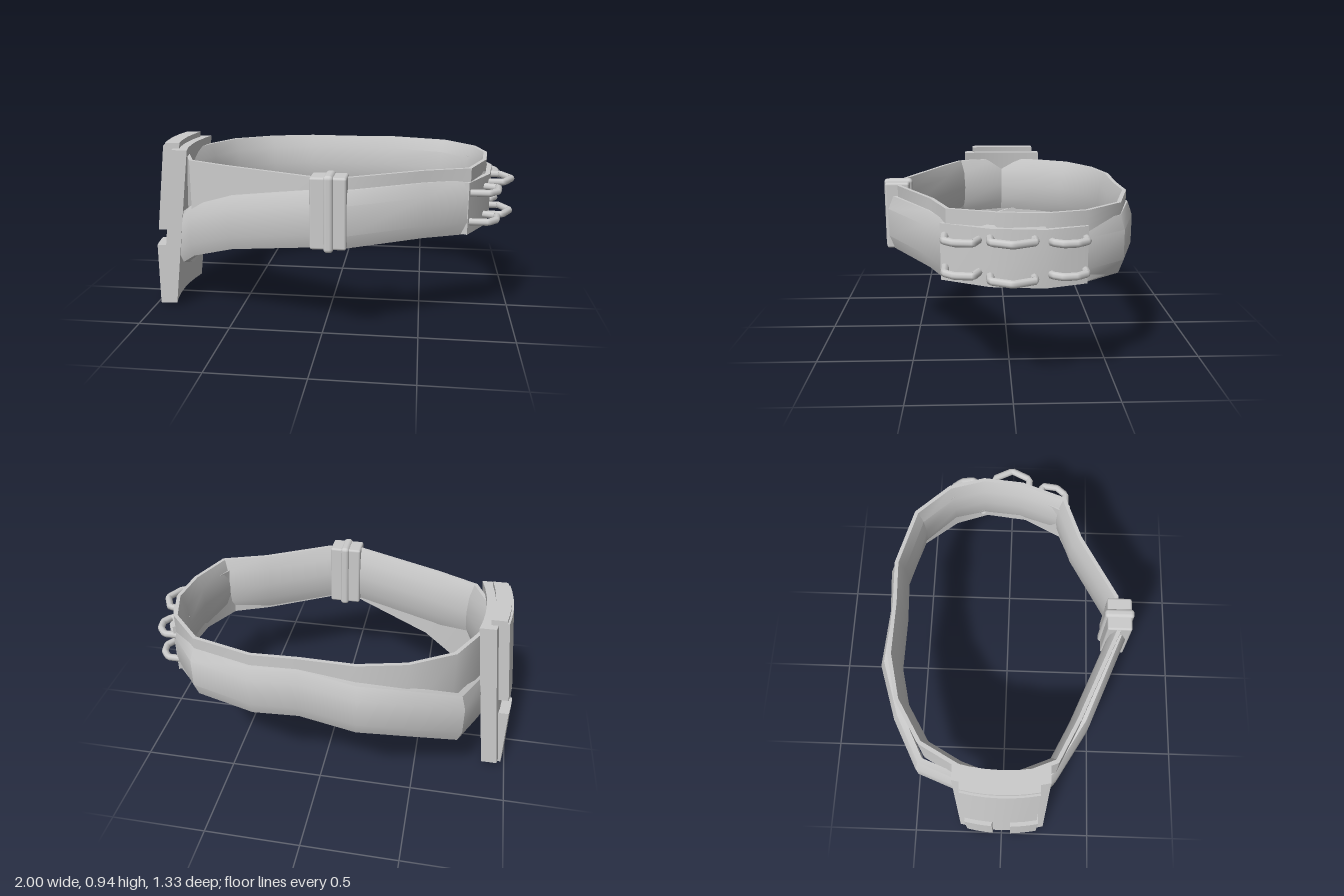
import * as THREE from 'three';
import { toCreasedNormals } from 'three/addons/utils/BufferGeometryUtils.js';
import { RoundedBoxGeometry } from 'three/addons/geometries/RoundedBoxGeometry.js';

const grey = new THREE.MeshStandardMaterial({ color: 0xcccccc, side: THREE.DoubleSide });

function add(group, name, geometry, x = 0, y = 0, z = 0) {
  const mesh = new THREE.Mesh(geometry, grey);
  mesh.name = name;
  mesh.position.set(x, y, z);
  group.add(mesh);
  return mesh;
}

// Sweeps a profile of [outward, up] points along a path of [x, z, baseY] points.
function band(path, profile, closed) {
  const n = path.length, m = profile.length, pos = [], idx = [];
  const normal = (a, b) => new THREE.Vector2(a[1] - b[1], b[0] - a[0]).normalize();
  path.forEach((p, i) => {
    const prev = closed || i > 0 ? path[(i + n - 1) % n] : null;
    const next = closed || i < n - 1 ? path[(i + 1) % n] : null;
    const n1 = normal(prev || p, prev ? p : next);
    const n2 = normal(next ? p : prev, next || p);
    const miter = n1.clone().add(n2).normalize();
    miter.divideScalar(Math.max(0.6, miter.dot(n1)));
    for (const [o, y] of profile) pos.push(p[0] + miter.x * o, p[2] + y, p[1] + miter.y * o);
  });
  for (let i = 0; i < (closed ? n : n - 1); i++) {
    for (let j = 0; j < m; j++) {
      const k = (i + 1) % n, l = (j + 1) % m;
      const a = i * m + j, b = k * m + j, c = k * m + l, d = i * m + l;
      idx.push(a, b, c, a, c, d);
    }
  }
  if (!closed) {
    const e = (n - 1) * m;
    for (let j = 1; j < m - 1; j++) idx.push(0, j, j + 1, e, e + j + 1, e + j);
  }
  const g = new THREE.BufferGeometry();
  g.setAttribute('position', new THREE.Float32BufferAttribute(pos, 3));
  g.setIndex(idx);
  return toCreasedNormals(g, 0.6);
}

// Upright panel that leans inward with height and bows outward across its width.
function panel(x, y0, y1, z0, z1, thick, lean) {
  const g = new THREE.BoxGeometry(thick, y1 - y0, z1 - z0, 1, 1, 6);
  g.translate(x, (y0 + y1) / 2, (z0 + z1) / 2);
  const p = g.attributes.position;
  for (let i = 0; i < p.count; i++) {
    const z = p.getZ(i);
    p.setX(i, p.getX(i) + lean * p.getY(i) - 0.03 * (1 - (z / 0.24) ** 2));
  }
  return toCreasedNormals(g, 0.6);
}

export function createModel() {
  const model = new THREE.Group();

  // Outer belt: level on the left half, drooping towards the right hip
  const outerPath = [
    [-0.03, 0.64, 0.51], [0.14, 0.64, 0.51], [0.52, 0.42, 0.51], [0.73, 0.33, 0.51],
    [0.85, 0.1, 0.51], [0.88, -0.15, 0.51], [0.81, -0.35, 0.51], [0.65, -0.55, 0.51],
    [0.32, -0.65, 0.51], [0.08, -0.635, 0.51], [-0.22, -0.665, 0.475], [-0.5, -0.58, 0.42],
    [-0.74, -0.46, 0.335], [-0.85, -0.15, 0.26], [-0.88, 0.04, 0.2],
    [-0.86, 0.2, 0.25], [-0.76, 0.29, 0.32], [-0.5, 0.45, 0.42],
  ];
  add(model, 'outerBelt', band(outerPath,
    [[-0.055, 0], [-0.025, 0], [0, 0.07], [0, 0.22], [-0.025, 0.29], [-0.055, 0.29]], true));

  // Inner belt: level all the way round, softly rounded on the inside
  const innerPath = [
    [-0.03, 0.54], [0.14, 0.53], [0.48, 0.34], [0.7, 0.26], [0.78, 0.05], [0.8, -0.15],
    [0.75, -0.32], [0.6, -0.48], [0.31, -0.56], [0.08, -0.55], [-0.2, -0.555],
    [-0.43, -0.5], [-0.63, -0.38], [-0.73, -0.2], [-0.8, 0], [-0.7, 0.24], [-0.5, 0.34],
  ].map(([x, z]) => [x, z, 0.52]);
  add(model, 'innerBelt', band(innerPath,
    [[0.055, 0], [0.055, 0.34], [0.035, 0.34], [0.008, 0.27], [0, 0.17], [0.008, 0.07], [0.035, 0]], true));

  // Plate on the left hip that carries the loops
  const platePath = [[0.73, 0.33], [0.85, 0.1], [0.88, -0.15], [0.81, -0.35]].map(([x, z]) => [x, z, 0.515]);
  add(model, 'loopPlate', band(platePath,
    [[-0.05, 0], [0.004, 0], [0.004, 0.275], [-0.05, 0.275]], false));

  // Two rows of three loops
  const loops = [
    { dy: 0, path: [[0.74, 0.31], [0.84, 0.31], [0.885, 0.26], [0.895, 0.18], [0.82, 0.15]] },
    { dy: 0.013, path: [[0.84, 0.1], [0.93, 0.1], [0.98, 0], [0.93, -0.1], [0.85, -0.1]] },
    { dy: 0, path: [[0.8, -0.17], [0.89, -0.18], [0.92, -0.23], [0.91, -0.29], [0.87, -0.34], [0.79, -0.34]] },
  ];
  for (const [row, y] of [['upper', 0.733], ['lower', 0.58]]) {
    for (const { dy, path } of loops) {
      const curve = new THREE.CurvePath();
      const pts = path.map(([x, z]) => new THREE.Vector3(x, y + (row === 'upper' ? dy : -dy), z));
      for (let i = 1; i < pts.length; i++) curve.add(new THREE.LineCurve3(pts[i - 1], pts[i]));
      add(model, row + 'Loop', new THREE.TubeGeometry(curve, 24, 0.019, 8, false));
    }
  }

  // Front clasp: sleeve with a raised rib
  add(model, 'claspSleeve', new RoundedBoxGeometry(0.18, 0.36, 0.13, 2, 0.012), 0.05, 0.69, 0.59);
  add(model, 'claspRib', new RoundedBoxGeometry(0.05, 0.385, 0.155, 3, 0.02), 0.052, 0.688, 0.59);

  // Holster on the right hip
  const holster = new THREE.Group();
  holster.name = 'holster';
  model.add(holster);
  add(holster, 'holsterBody', panel(-0.917, 0.02, 0.905, -0.24, 0.24, 0.085, 0.12));
  add(holster, 'holsterCover', panel(-0.982, 0.44, 0.92, -0.2, 0.19, 0.062, 0.12));
  add(holster, 'holsterTopLip', panel(-0.962, 0.895, 0.935, -0.2, 0.19, 0.08, 0.12));
  for (const s of [-1, 1]) {
    const [z0, z1] = s < 0 ? [-0.2, -0.05] : [0.05, 0.2];
    add(holster, 'holsterFootPlate', panel(-0.942, 0, 0.35, z0, z1, 0.06, 0));
  }
  return model;
}
